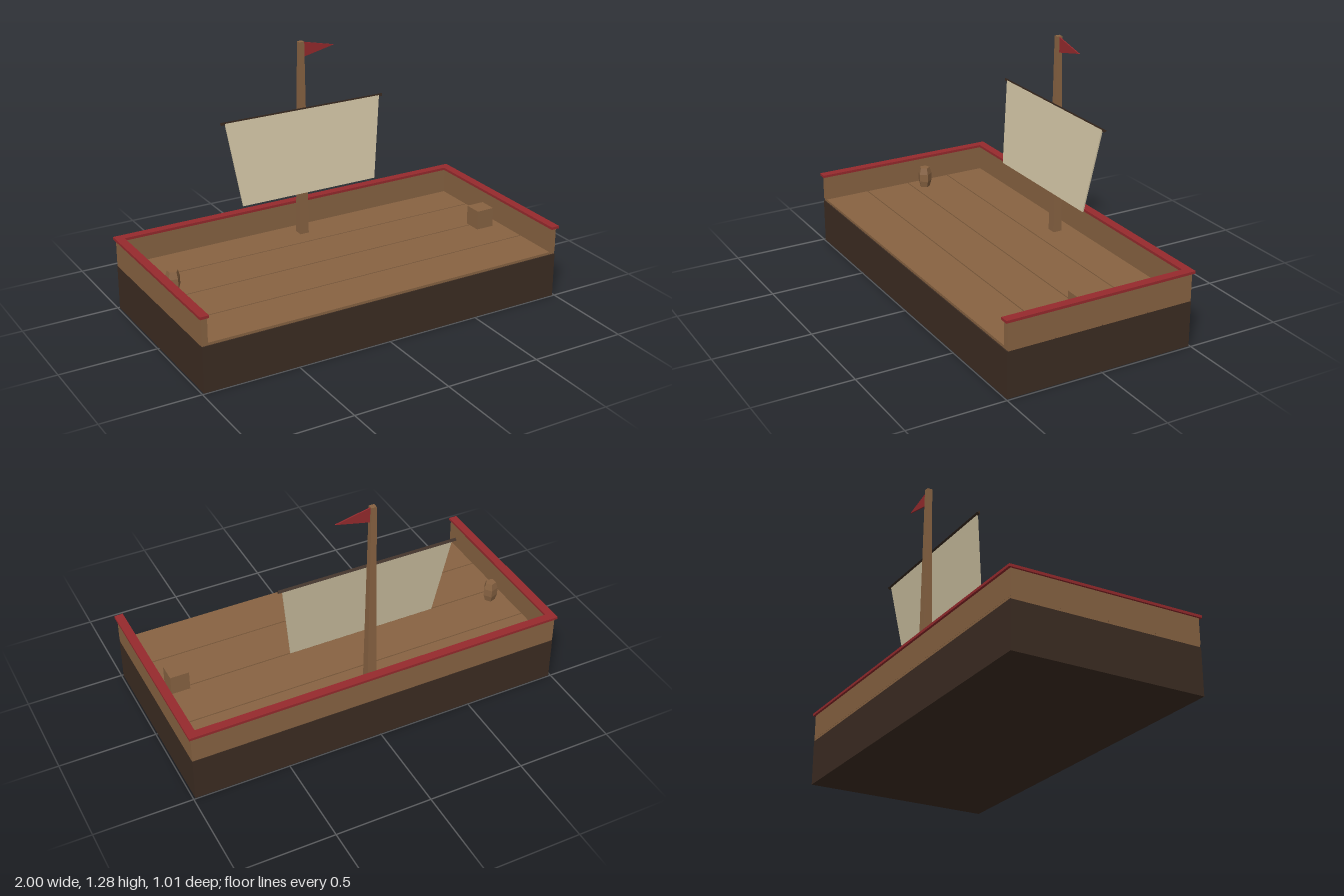
import * as THREE from 'three';

const mat = (name, color) => {
  const m = new THREE.MeshStandardMaterial({ color });
  m.name = name;
  return m;
};

export function createModel() {
  const boat = new THREE.Group();
  boat.name = 'sailingBarge';
  const wood = mat('wood', 0x886342);
  const darkWood = mat('darkWood', 0x3c2c22);
  const red = mat('redPaint', 0x962a2d);
  const canvas = mat('canvas', 0xd2c5a5);

  const add = (name, geo, material, x = 0, y = 0, z = 0) => {
    const mesh = new THREE.Mesh(geo, material);
    mesh.name = name;
    mesh.position.set(x, y, z);
    boat.add(mesh);
    return mesh;
  };
  // Box given by its lower and upper corners
  const box = (name, material, [x0, y0, z0], [x1, y1, z1]) =>
    add(name, new THREE.BoxGeometry(x1 - x0, y1 - y0, z1 - z0), material,
      (x0 + x1) / 2, (y0 + y1) / 2, (z0 + z1) / 2);
  const faceted = (geo) => {
    const flat = geo.toNonIndexed();
    flat.computeVertexNormals();
    return flat;
  };

  // Hull and deck planks with narrow gaps
  box('hull', darkWood, [-0.99, 0, -0.495], [0.99, 0.235, 0.495]);
  for (let i = 0; i < 4; i++) {
    const z = -0.4925 + i * 0.247;
    box('deckPlank', wood, [-0.99, 0.235, z], [0.99, 0.248, z + 0.241]);
  }

  // Walls on three sides (the front is open), capped with rails
  for (const s of [-1, 1]) {
    const wall = box('sideWall', wood, [-0.015, 0.248, -0.493], [0.015, 0.379, 0.493]);
    wall.position.x = s * 0.975;
    const rail = box('sideRail', red, [-0.0225, 0.378, -0.505], [0.0225, 0.391, 0.505]);
    rail.position.x = s * 0.9775;
  }
  box('backWall', wood, [-0.96, 0.248, -0.493], [0.96, 0.379, -0.463]);
  box('backRail', red, [-0.955, 0.378, -0.505], [0.955, 0.391, -0.46]);

  // Square tapered mast
  const mast = new THREE.CylinderGeometry(0.0135 * Math.SQRT2, 0.0245 * Math.SQRT2, 1.037, 4);
  mast.rotateY(Math.PI / 4);
  add('mast', faceted(mast), wood, 0, 0.7665, -0.37);

  // Three-sided yard
  const yard = new THREE.CylinderGeometry(0.009, 0.009, 0.932, 3);
  yard.rotateY(Math.PI).rotateZ(Math.PI / 2);
  add('yard', faceted(yard), darkWood, 0, 0.938, -0.345);

  // Sail: thin trapezoid hung from the yard, its foot swung forward
  const sailShape = new THREE.Shape([[-0.445, 0], [-0.385, -0.434], [0.385, -0.434], [0.445, 0]]
    .map(([x, y]) => new THREE.Vector2(x, y)));
  const sailGeo = new THREE.ExtrudeGeometry(sailShape, { depth: 0.007, bevelEnabled: false });
  sailGeo.translate(0, 0, -0.0035);
  add('sail', sailGeo, canvas, 0, 0.937, -0.342).rotation.x = -0.136;

  // Pennant
  const flagShape = new THREE.Shape([[0, 1.2], [0.19, 1.242], [0, 1.284]]
    .map(([x, y]) => new THREE.Vector2(x, y)));
  add('flag', new THREE.ExtrudeGeometry(flagShape, { depth: 0.006, bevelEnabled: false }),
    red, 0, 0, -0.373);

  // Five-sided barrel and a crate on deck
  const profile = [[0, 0], [0.028, 0], [0.038, 0.035], [0.038, 0.075], [0.028, 0.11], [0, 0.11]]
    .map(([x, y]) => new THREE.Vector2(x, y));
  add('barrel', faceted(new THREE.LatheGeometry(profile, 5, Math.PI / 2)), wood, -0.877, 0.248, -0.065);
  box('crate', wood, [0.81, 0.248, -0.025], [0.908, 0.35, 0.07]);

  return boat;
}
